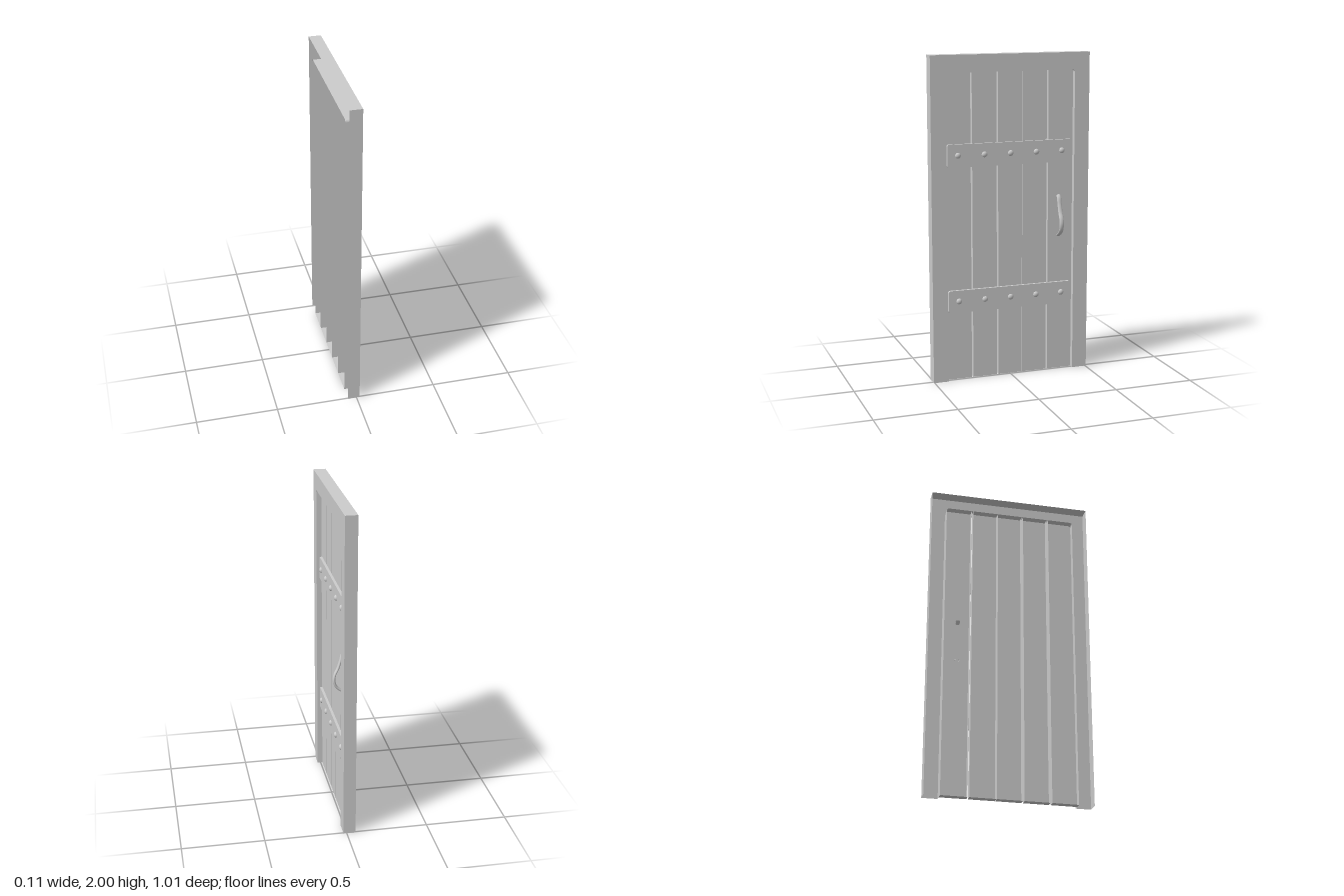
import * as THREE from 'three';
import { mergeGeometries } from 'three/addons/utils/BufferGeometryUtils.js';

const W = 0.505, H = 2;            // frame outside half width and height
const IN = 0.41, TOP = 1.895;      // opening half width and height
const FRONT = 0.02, FACE = -0.012, BACK = -0.055; // depth levels
const R = 0.015;                   // rounding of the upper opening corners

const material = new THREE.MeshStandardMaterial({ color: 0xcccccc, side: THREE.DoubleSide });

function add(parent, name, geometry) {
  const mesh = new THREE.Mesh(geometry, material);
  mesh.name = name;
  parent.add(mesh);
  return mesh;
}

// Flat-shaded wall that follows a 2D path between two depths
function wall(points, z0, z1) {
  const pos = [], uv = [];
  for (let i = 0; i < points.length - 1; i++) {
    const p = points[i], q = points[i + 1];
    pos.push(p.x, p.y, z0, q.x, q.y, z0, q.x, q.y, z1);
    pos.push(p.x, p.y, z0, q.x, q.y, z1, p.x, p.y, z1);
    uv.push(0, 0, 1, 0, 1, 1, 0, 0, 1, 1, 0, 1);
  }
  const g = new THREE.BufferGeometry();
  g.setAttribute('position', new THREE.Float32BufferAttribute(pos, 3));
  g.setAttribute('uv', new THREE.Float32BufferAttribute(uv, 2));
  g.computeVertexNormals();
  return g;
}

function face(points, z) {
  return new THREE.ShapeGeometry(new THREE.Shape(points)).toNonIndexed().translate(0, 0, z);
}

// Rounded corner from angle a0 to a1 around a centre
function corner(cx, cy, r, a0, a1, n = 5) {
  return Array.from({ length: n + 1 }, (_, i) => {
    const a = a0 + (a1 - a0) * i / n;
    return new THREE.Vector2(cx + r * Math.cos(a), cy + r * Math.sin(a));
  });
}

const v = (x, y) => new THREE.Vector2(x, y);

// Hollow frame: front face, outer walls and inner return, open at back and foot
function frameGeometry() {
  const outer = [v(W, 0), v(W, H), v(-W, H), v(-W, 0)];
  const inner = [
    v(-IN, 0),
    ...corner(-IN + R, TOP - R, R, Math.PI, Math.PI / 2),
    ...corner(IN - R, TOP - R, R, Math.PI / 2, 0),
    v(IN, 0),
  ];
  return mergeGeometries([
    face([...outer, ...inner], FRONT),
    wall(outer, BACK, FRONT),
    wall(inner, BACK, FRONT),
  ]);
}

// Plank shell, open at the back; the outermost planks have one rounded top corner
function plankGeometry(x0, x1, roundLeft, roundRight) {
  const pts = [
    v(x0, 0), v(x1, 0),
    ...(roundRight ? corner(x1 - R, TOP - R, R, 0, Math.PI / 2) : [v(x1, TOP)]),
    ...(roundLeft ? corner(x0 + R, TOP - R, R, Math.PI / 2, Math.PI) : [v(x0, TOP)]),
  ];
  return mergeGeometries([face(pts, FACE), wall([...pts, pts[0]], BACK, FACE)]);
}

function strapGeometry(w, h, depth) {
  const r = 0.012, x = w / 2 - r, y = h / 2 - r, q = Math.PI / 2;
  const pts = [
    ...corner(x, -y, r, -q, 0, 4), ...corner(x, y, r, 0, q, 4),
    ...corner(-x, y, r, q, 2 * q, 4), ...corner(-x, -y, r, 2 * q, 3 * q, 4),
  ];
  return new THREE.ExtrudeGeometry(new THREE.Shape(pts), { depth, bevelEnabled: false });
}

export function createModel() {
  const model = new THREE.Group();
  model.name = 'plankDoor';
  const door = new THREE.Group();
  door.name = 'door';
  door.rotation.y = Math.PI / 2; // the door is built facing +z and turned to face +x
  model.add(door);

  add(door, 'frame', frameGeometry());

  // Five planks with narrow gaps between them
  const seams = [-IN, -0.245, -0.08, 0.08, 0.245, IN];
  const gaps = [0, 0.005, 0.005, 0.0015, 0.005, 0];
  for (let i = 0; i < 5; i++) {
    add(door, 'plank' + (i + 1),
      plankGeometry(seams[i] + gaps[i], seams[i + 1] - gaps[i + 1], i === 0, i === 4));
  }

  // Two cross straps, each with five domed rivets
  const strapFront = 0.004;
  const strap = strapGeometry(0.8, 0.14, strapFront - FACE);
  const rivet = new THREE.SphereGeometry(0.018, 16, 6, 0, Math.PI * 2, 0, Math.PI / 2)
    .scale(1, 0.7, 1).rotateX(Math.PI / 2);
  for (const [name, y] of [['upper', 1.398], ['lower', 0.498]]) {
    const group = new THREE.Group();
    group.name = name + 'Strap';
    group.position.y = y;
    door.add(group);
    add(group, 'strapBar', strap).position.z = FACE;
    for (let i = -2; i <= 2; i++) {
      add(group, 'rivet', rivet).position.set(i * 0.167, 0.002, strapFront);
    }
  }

  // Curved pull handle, flattened tube whose ends pass into the plank
  const path = new THREE.CatmullRomCurve3([
    [1.125, -0.025], [1.105, -0.005], [1.06, 0.008], [1.015, 0.022],
    [0.975, 0.04], [0.94, 0.045], [0.905, 0.036], [0.88, 0.012], [0.86, -0.025],
  ].map(([y, z]) => new THREE.Vector3(0, y, z)));
  const handle = new THREE.TubeGeometry(path, 48, 0.008, 14, false).scale(1.8, 1, 1);
  add(door, 'handle', handle).position.x = 0.321;

  return model;
}
